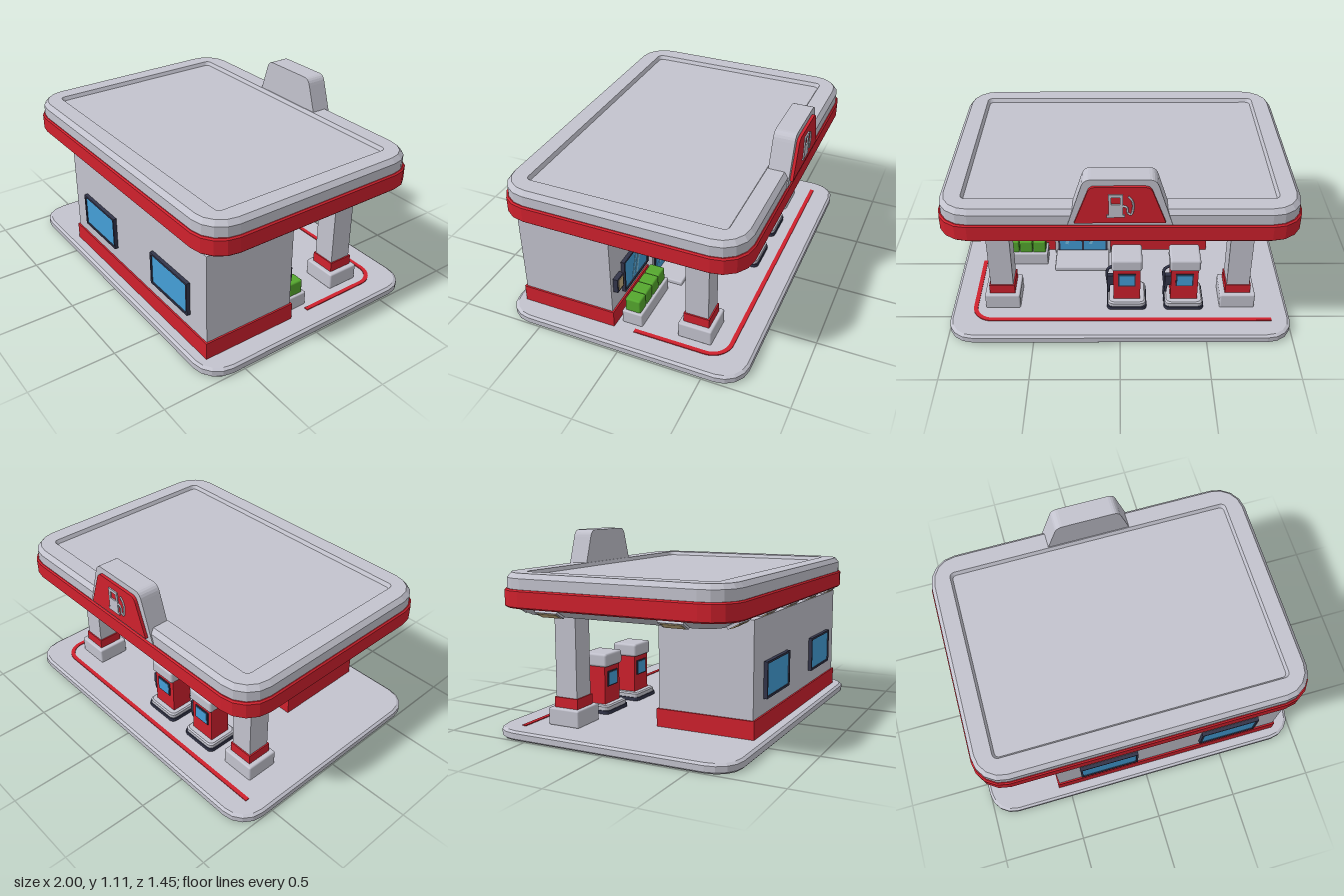
import * as THREE from 'three';
import { RoundedBoxGeometry } from 'three/addons/geometries/RoundedBoxGeometry.js';

const paint = (name, color) => Object.assign(new THREE.MeshStandardMaterial({ color }), { name });

// Stack of rounded rectangles [halfX, halfZ, radius, y], lofted and capped with flat facets.
function loft(levels, seg = 4) {
  const rings = levels.map(([hx, hz, r, y]) => {
    const pts = [];
    [[1, 1], [-1, 1], [-1, -1], [1, -1]].forEach(([sx, sz], q) => {
      for (let i = 0; i <= seg; i++) {
        const a = (q + i / seg) * Math.PI / 2;
        pts.push([sx * (hx - r) + r * Math.cos(a), y, -(sz * (hz - r) + r * Math.sin(a))]);
      }
    });
    return pts;
  });
  const pos = [], n = rings[0].length, last = rings.length - 1;
  const tri = (...p) => p.forEach(v => pos.push(...v));
  for (let i = 0; i < n; i++) {
    const j = (i + 1) % n;
    for (let k = 0; k < last; k++) {
      const [a, b, c, d] = [rings[k][i], rings[k][j], rings[k + 1][j], rings[k + 1][i]];
      tri(a, b, c);
      tri(a, c, d);
    }
    tri([0, levels[0][3], 0], rings[0][j], rings[0][i]);
    tri([0, levels[last][3], 0], rings[last][i], rings[last][j]);
  }
  const g = new THREE.BufferGeometry();
  g.setAttribute('position', new THREE.Float32BufferAttribute(pos, 3));
  g.computeVertexNormals();
  return g;
}

// Rounded-top trapezoid used for the roof sign.
function signShape(bottom, shoulder, top, y0, y1) {
  const s = new THREE.Shape(), d = y1 - 0.045;
  s.moveTo(-bottom, y0);
  s.lineTo(bottom, y0);
  s.lineTo(shoulder, d);
  s.quadraticCurveTo(shoulder - 0.012, y1, top, y1);
  s.lineTo(-top, y1);
  s.quadraticCurveTo(-shoulder + 0.012, y1, -shoulder, d);
  s.closePath();
  return s;
}

export function createModel() {
  const model = new THREE.Group();
  model.name = 'fuelStation';
  const grey = paint('paleGrey', 0xc3c3ce), red = paint('red', 0xd0212d), blue = paint('glassBlue', 0x449fd8);
  const navy = paint('darkFrame', 0x33354a), green = paint('leafGreen', 0x55a82e), beige = paint('lampBeige', 0xc9b283);
  const shine = paint('glassShine', 0x7cc4ea);

  const add = (name, geo, mat, parent = model) => {
    const m = new THREE.Mesh(geo, mat);
    m.name = name;
    parent.add(m);
    return m;
  };
  // Box given by its min and max on each axis, optionally rounded.
  const box = (name, mat, [x0, x1], [y0, y1], [z0, z1], parent = model, r = 0) => {
    const s = [x1 - x0, y1 - y0, z1 - z0];
    const m = add(name, r ? new RoundedBoxGeometry(...s, 2, r) : new THREE.BoxGeometry(...s), mat, parent);
    m.position.set((x0 + x1) / 2, (y0 + y1) / 2, (z0 + z1) / 2);
    return m;
  };
  const group = (name, parent = model) => {
    const g = new THREE.Group();
    g.name = name;
    parent.add(g);
    return g;
  };

  // Ground slab
  add('groundSlab', loft([[0.99, 0.715, 0.14, 0], [1, 0.725, 0.15, 0.01], [1, 0.725, 0.15, 0.042], [0.985, 0.71, 0.14, 0.053]]), grey);

  // Red line painted around the forecourt
  const line = new THREE.Shape();
  line.moveTo(-0.89, 0.57);
  line.lineTo(0.75, 0.57);
  line.absarc(0.75, 0.47, 0.1, Math.PI / 2, 0, true);
  line.lineTo(0.85, 0.04);
  line.lineTo(0.875, 0.04);
  line.lineTo(0.875, 0.47);
  line.absarc(0.75, 0.47, 0.125, 0, Math.PI / 2, false);
  line.lineTo(-0.89, 0.595);
  line.closePath();
  const lineMesh = add('forecourtLine', new THREE.ExtrudeGeometry(line, { depth: 0.006, bevelEnabled: false, curveSegments: 6 }), red);
  lineMesh.rotation.x = -Math.PI / 2;
  lineMesh.position.y = 0.052;

  // Shop building
  box('shopWalls', grey, [-0.555, 0.865], [0.05, 0.69], [0.09, 0.65]);
  box('shopSkirtFront', red, [-0.565, 0.875], [0.053, 0.155], [0.37, 0.66]);
  box('shopSkirtLeft', red, [0.42, 0.875], [0.053, 0.155], [0.08, 0.37]);
  box('shopSkirtRight', red, [-0.565, 0.06], [0.053, 0.155], [0.08, 0.37]);

  // Framed window: dir +1 faces front, -1 faces back
  const windowAt = (x0, x1, y0, y1, wall, dir, streak) => {
    const g = group('window');
    const span = (a, b) => [wall + Math.min(a * dir, b * dir), wall + Math.max(a * dir, b * dir)];
    const t = 0.012;
    box('frameBottom', navy, [x0, x1], [y0, y0 + t], span(-0.005, 0.022), g);
    box('frameTop', navy, [x0, x1], [y1 - t, y1], span(-0.005, 0.022), g);
    box('frameSide', navy, [x0, x0 + t], [y0, y1], span(-0.005, 0.022), g);
    box('frameSide', navy, [x1 - t, x1], [y0, y1], span(-0.005, 0.022), g);
    box('glass', blue, [x0 + t, x1 - t], [y0 + t, y1 - t], span(-0.005, 0.015), g);
    if (streak) {
      for (const [k, w] of [[0.4, 0.025], [0.55, 0.012]]) {
        const x = x0 + (x1 - x0) * k, h = (y1 - y0) * 0.8;
        const m = add('glassStreak', new THREE.BoxGeometry(w, h, 0.003), shine, g);
        m.position.set(x, (y0 + y1) / 2, wall + dir * 0.016);
        m.rotation.z = 0.35;
      }
    }
  };
  windowAt(-0.41, -0.05, 0.24, 0.445, 0.65, 1, false);
  windowAt(0.355, 0.715, 0.24, 0.445, 0.65, 1, false);
  windowAt(0.44, 0.74, 0.205, 0.415, 0.09, -1, true);
  windowAt(-0.4, -0.08, 0.205, 0.415, 0.09, -1, true);

  // Small wall panel beside the window
  box('wallPanelFrame', navy, [0.765, 0.84], [0.28, 0.37], [0.062, 0.092]);
  box('wallPanelFace', beige, [0.777, 0.828], [0.292, 0.358], [0.058, 0.066]);

  // Entrance: surround, glass doors, canopy, lamp and step
  box('doorSurround', grey, [0.06, 0.42], [0.053, 0.456], [0.052, 0.1]);
  box('doorFrame', navy, [0.08, 0.4], [0.075, 0.4], [0.045, 0.06]);
  for (const s of [-1, 1]) {
    const cx = 0.24 + s * 0.077;
    box('doorGlass', blue, [cx - 0.07, cx + 0.07], [0.085, 0.385], [0.04, 0.048]);
    box('doorHandle', navy, [0.24 + s * 0.022 - 0.006, 0.24 + s * 0.022 + 0.006], [0.18, 0.27], [0.028, 0.042]);
    const m = add('doorStreak', new THREE.BoxGeometry(0.02, 0.22, 0.003), shine);
    m.position.set(cx, 0.24, 0.039);
    m.rotation.z = 0.25;
  }
  box('entranceCanopy', red, [0.03, 0.45], [0.455, 0.555], [-0.028, 0.095], model, 0.01);
  box('entranceLamp', beige, [0.15, 0.33], [0.44, 0.458], [-0.02, 0.03]);
  box('entranceStep', grey, [0.07, 0.41], [0.05, 0.08], [-0.135, 0.06], model, 0.008);

  // Planter with four clipped bushes
  box('planter', grey, [0.46, 0.82], [0.05, 0.138], [-0.07, 0.055], model, 0.008);
  for (let i = 0; i < 4; i++) {
    const x = 0.473 + i * 0.084;
    box('bush', green, [x, x + 0.08], [0.13, 0.22], [-0.053, 0.04], model, 0.01);
  }

  // Columns carrying the roof
  for (const s of [-1, 1]) {
    const g = group('column');
    g.position.set(s * 0.698, 0, -0.38);
    box('columnBase', grey, [-0.104, 0.104], [0.05, 0.15], [-0.1, 0.1], g, 0.01);
    box('columnCollar', red, [-0.075, 0.075], [0.15, 0.208], [-0.076, 0.076], g);
    box('columnShaft', grey, [-0.067, 0.067], [0.2, 0.7], [-0.068, 0.068], g);
  }

  // Fuel pumps
  for (const x of [-0.04, -0.38]) {
    const g = group('fuelPump');
    g.position.set(x, 0, -0.39);
    add('pumpFoot', loft([[0.118, 0.108, 0.03, 0.05], [0.118, 0.108, 0.03, 0.074]]), navy, g);
    add('pumpPlinth', loft([[0.112, 0.102, 0.03, 0.074], [0.112, 0.102, 0.03, 0.095], [0.104, 0.094, 0.03, 0.103]]), grey, g);
    box('pumpBody', red, [-0.08, 0.08], [0.1, 0.33], [-0.065, 0.065], g);
    box('pumpCap', grey, [-0.09, 0.09], [0.325, 0.405], [-0.084, 0.082], g, 0.015);
    for (const s of [-1, 1]) {
      const z = s * 0.067;
      box('screenFrame', navy, [-0.052, 0.052], [0.205, 0.295], [z - 0.004, z + 0.004], g);
      box('screen', blue, [-0.044, 0.044], [0.213, 0.287], [z * 1.04 - 0.004, z * 1.04 + 0.004], g);
    }
    const path = new THREE.CatmullRomCurve3([[0.08, 0.28, 0.03], [0.115, 0.25, 0.03], [0.112, 0.15, 0.02],
      [0.108, 0.125, -0.015], [0.11, 0.16, -0.04], [0.1, 0.23, -0.04]].map(p => new THREE.Vector3(...p)));
    add('hose', new THREE.TubeGeometry(path, 24, 0.009, 6), navy, g);
    box('nozzle', navy, [0.08, 0.115], [0.2, 0.27], [-0.053, -0.025], g);
  }

  // Roof: sloping underside, red band, grey parapet with a sunken top
  const roof = group('roof');
  add('roofUnderside', loft([[0.87, 0.595, 0.12, 0.68], [0.955, 0.68, 0.17, 0.726]]), grey, roof);
  add('roofBand', loft([[0.972, 0.697, 0.17, 0.724], [0.98, 0.705, 0.175, 0.732], [0.98, 0.705, 0.175, 0.818], [0.972, 0.697, 0.17, 0.826]]), red, roof);
  add('roofParapet', loft([[0.968, 0.693, 0.17, 0.825], [0.968, 0.693, 0.17, 0.885], [0.945, 0.67, 0.15, 0.912],
    [0.85, 0.573, 0.03, 0.912], [0.838, 0.561, 0.025, 0.89]]), grey, roof);

  // Lamps set into the sloping underside
  const lamp = (x, z, turn) => {
    const g = group('roofLamp', roof);
    g.position.set(x, 0.703, z);
    g.rotation.y = turn;
    const t = group('lampTilt', g);
    t.rotation.x = -0.49;
    box('lampHousing', grey, [-0.072, 0.072], [-0.012, 0.01], [-0.036, 0.036], t);
    box('lampGlass', beige, [-0.058, 0.058], [-0.016, -0.008], [-0.026, 0.026], t);
  };
  for (const s of [-1, 1]) {
    for (let i = -2; i <= 2; i++) lamp(i * 0.367, s * 0.638, s > 0 ? 0 : Math.PI);
    for (const z of [-0.37, 0.37]) lamp(s * 0.913, z, s * Math.PI / 2);
  }

  // Roof sign with a simple pump pictogram facing the forecourt
  const sign = group('roofSign');
  const slab = (name, shape, mat, z, depth) => {
    add(name, new THREE.ExtrudeGeometry(shape, { depth, bevelEnabled: false, curveSegments: 5 }), mat, sign).position.z = z;
  };
  slab('signBody', signShape(0.275, 0.2, 0.15, 0.83, 1.11), grey, -0.7, 0.122);
  slab('signFace', signShape(0.238, 0.172, 0.13, 0.855, 1.076), red, -0.717, 0.02);
  const icon = new THREE.Shape([[-0.025, 0.895], [0.07, 0.895], [0.07, 0.91], [0.06, 0.91], [0.06, 1.035],
    [-0.015, 1.035], [-0.015, 0.91], [-0.025, 0.91]].map(p => new THREE.Vector2(...p)));
  icon.holes.push(new THREE.Path([[0, 0.975], [0, 1.018], [0.045, 1.018], [0.045, 0.975]].map(p => new THREE.Vector2(...p))));
  slab('pictogramPump', icon, grey, -0.724, 0.009);
  const hosePath = new THREE.CatmullRomCurve3([[-0.012, 0.965], [-0.035, 0.955], [-0.04, 0.92], [-0.057, 0.912], [-0.066, 0.94],
    [-0.064, 0.99], [-0.04, 1.025]].map(([x, y]) => new THREE.Vector3(x, y, -0.719)));
  add('pictogramHose', new THREE.TubeGeometry(hosePath, 20, 0.006, 5), grey, sign);

  return model;
}
